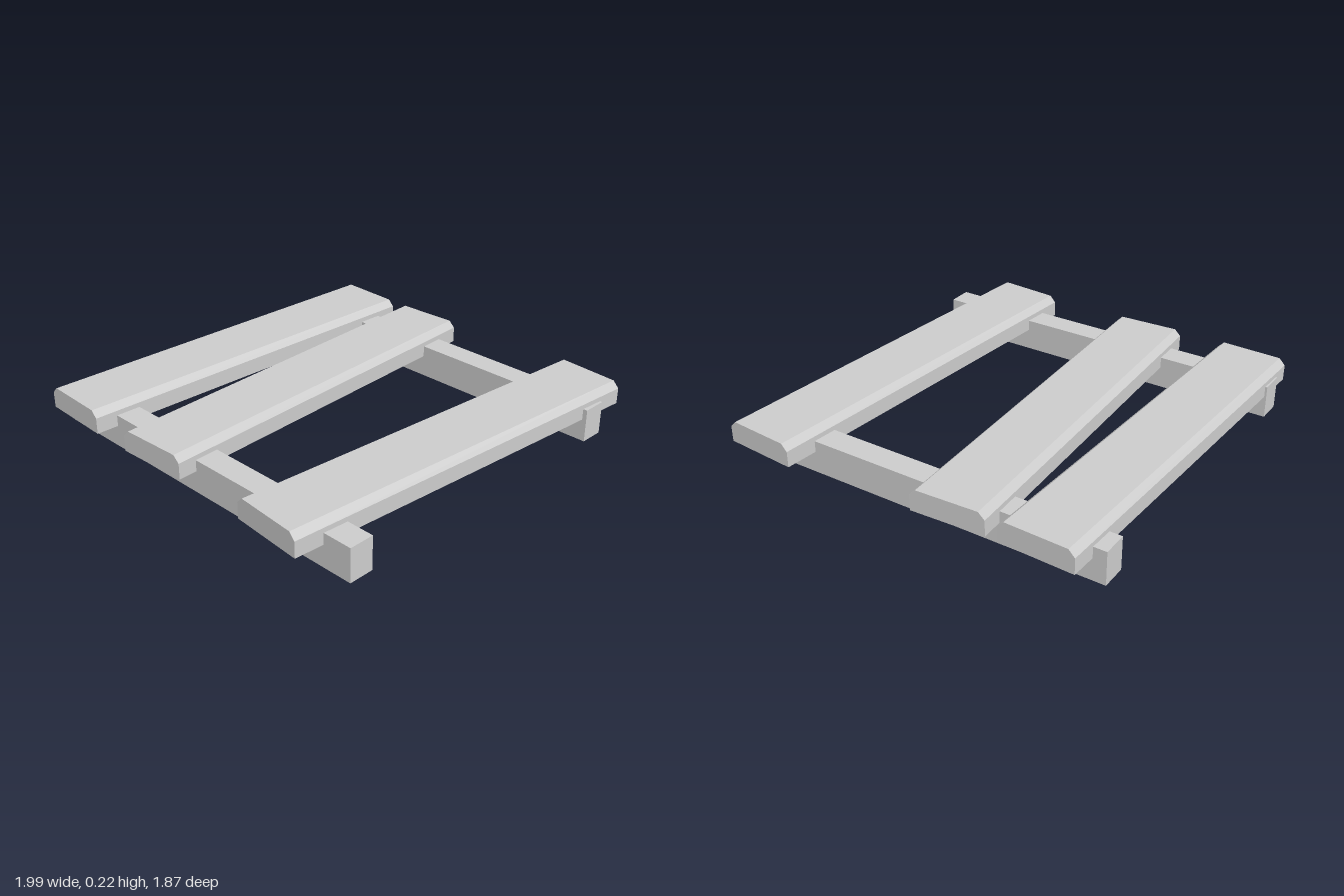
import * as THREE from 'three';

const material = new THREE.MeshStandardMaterial({ color: 0xcccccc, flatShading: true });

// Board with both long top edges chamfered, running along x and centred on its middle
function plankGeometry(length, width, bottom, top, chamfer) {
  const h = width / 2;
  const profile = new THREE.Shape([
    new THREE.Vector2(-h, bottom),
    new THREE.Vector2(h, bottom),
    new THREE.Vector2(h, top - chamfer),
    new THREE.Vector2(h - chamfer, top),
    new THREE.Vector2(-h + chamfer, top),
    new THREE.Vector2(-h, top - chamfer),
  ]);
  return new THREE.ExtrudeGeometry(profile, { depth: length, bevelEnabled: false })
    .translate(0, 0, -length / 2)
    .rotateY(Math.PI / 2);
}

export function createModel() {
  const group = new THREE.Group();
  group.name = 'plankPlatform';

  // Two square-edged rails running front to back
  for (const [name, x] of [['rightRail', -0.792], ['leftRail', 0.773]]) {
    const rail = new THREE.Mesh(new THREE.BoxGeometry(0.123, 0.163, 1.87), material);
    rail.name = name;
    rail.position.set(x, 0.0815, 0);
    group.add(rail);
  }

  // Three planks laid slightly askew, let into the rails
  const planks = [
    { name: 'backPlank', z: -0.717, turn: -0.034, length: 1.915 },
    { name: 'middlePlank', z: -0.214, turn: 0.047, length: 1.915 },
    { name: 'frontPlank', z: 0.674, turn: -0.079, length: 1.97 },
  ];
  for (const { name, z, turn, length } of planks) {
    const plank = new THREE.Mesh(plankGeometry(length, 0.365, 0.108, 0.217, 0.031), material);
    plank.name = name;
    plank.position.z = z;
    plank.rotation.y = turn;
    group.add(plank);
  }
  return group;
}
